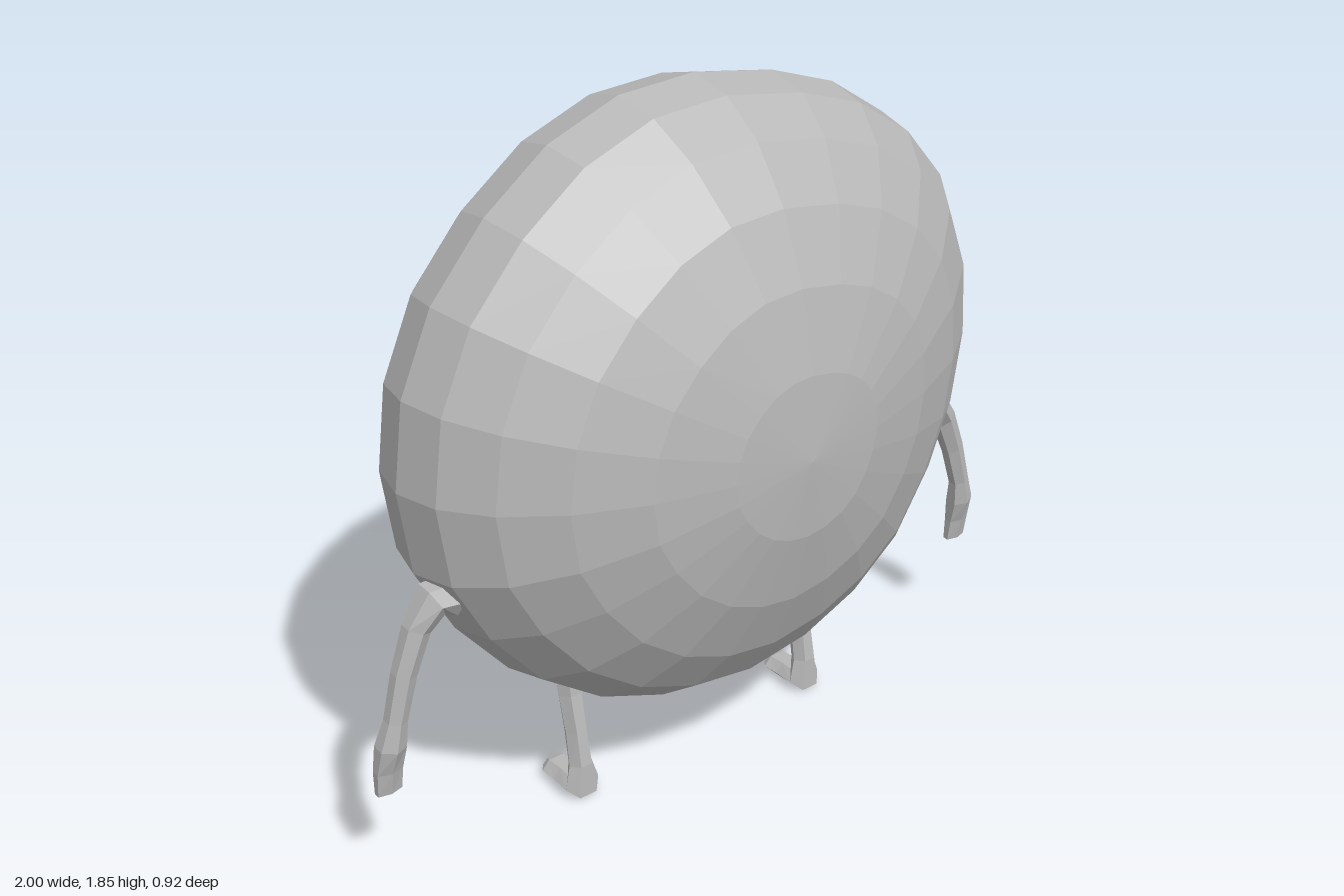
import * as THREE from 'three';

const CENTRE = [-0.03, 1.035];
const DEPTH = 0.46;

// Body outline at its widest, one point every 15 degrees from the +x side
const OUTLINE = [
  [0.825, 1.09], [0.81, 1.31], [0.735, 1.5], [0.605, 1.645], [0.43, 1.755], [0.23, 1.82],
  [-0.01, 1.858], [-0.23, 1.845], [-0.43, 1.77], [-0.605, 1.64], [-0.755, 1.47], [-0.845, 1.27],
  [-0.875, 1.05], [-0.845, 0.83], [-0.745, 0.645], [-0.6, 0.47], [-0.42, 0.34], [-0.22, 0.26],
  [-0.01, 0.23], [0.21, 0.26], [0.41, 0.34], [0.58, 0.47], [0.71, 0.67], [0.79, 0.87],
];

// Split faces so that each one is shaded flat
function facet(geometry) {
  const flat = geometry.toNonIndexed();
  flat.computeVertexNormals();
  return flat;
}

// Slightly uneven flattened sphere with its poles at the front and back
function bodyGeometry() {
  const n = OUTLINE.length;
  const geometry = new THREE.SphereGeometry(1, n, 12).rotateX(Math.PI / 2);
  const p = geometry.attributes.position;
  for (let i = 0; i < p.count; i++) {
    const x = p.getX(i), y = p.getY(i);
    const r = Math.hypot(x, y);
    const k = (Math.round(Math.atan2(y, x) / (2 * Math.PI) * n) + n) % n;
    p.setXYZ(i,
      CENTRE[0] + r * (OUTLINE[k][0] - CENTRE[0]),
      CENTRE[1] + r * (OUTLINE[k][1] - CENTRE[1]),
      p.getZ(i) * DEPTH);
  }
  return facet(geometry);
}

// Six-sided limb through sections [x, y, z, halfWidth along ref, halfWidth across]
function limbGeometry(sections, ref) {
  const sides = 6;
  const points = sections.map((s) => new THREE.Vector3(s[0], s[1], s[2]));
  const last = points.length - 1;
  const pos = [], index = [];
  points.forEach((c, i) => {
    const t = points[Math.min(i + 1, last)].clone().sub(points[Math.max(i - 1, 0)]).normalize();
    const u = ref.clone().addScaledVector(t, -ref.dot(t)).normalize();
    const v = t.clone().cross(u);
    for (let j = 0; j < sides; j++) {
      const a = j / sides * Math.PI * 2;
      const q = c.clone()
        .addScaledVector(u, sections[i][3] * Math.cos(a))
        .addScaledVector(v, sections[i][4] * Math.sin(a) * 1.12);
      pos.push(q.x, q.y, q.z);
    }
  });
  const start = pos.length / 3, end = start + 1;
  pos.push(...points[0].toArray(), ...points[last].toArray());
  for (let j = 0; j < sides; j++) {
    const k = (j + 1) % sides;
    for (let i = 0; i < last; i++) {
      const a = i * sides, b = a + sides;
      index.push(a + j, a + k, b + k, a + j, b + k, b + j);
    }
    index.push(start, k, j, end, last * sides + j, last * sides + k);
  }
  const geometry = new THREE.BufferGeometry();
  geometry.setAttribute('position', new THREE.Float32BufferAttribute(pos, 3));
  geometry.setIndex(index);
  return facet(geometry);
}

// Arm curving out from the side of the body, ending in a flat hand
const ARM = [
  [0.75, 0.775, 0.055, 0.05, 0.045],
  [0.815, 0.785, 0.055, 0.05, 0.042],
  [0.865, 0.72, 0.05, 0.032, 0.033],
  [0.91, 0.61, 0.045, 0.027, 0.03],
  [0.945, 0.49, 0.04, 0.026, 0.027],
  [0.96, 0.42, 0.033, 0.034, 0.036],
  [0.966, 0.35, 0.022, 0.022, 0.036],
  [0.966, 0.285, 0.016, 0.016, 0.034],
];

// Leg with a short foot pointing to the back
const LEG = [
  [0.39, 0.38, -0.035, 0.04, 0.03],
  [0.39, 0.3, -0.028, 0.034, 0.03],
  [0.39, 0.19, -0.008, 0.03, 0.03],
  [0.39, 0.1, 0.008, 0.034, 0.03],
  [0.39, 0.036, 0.014, 0.052, 0.036],
  [0.39, 0.032, -0.05, 0.045, 0.026],
  [0.39, 0.032, -0.1, 0.046, 0.024],
  [0.39, 0.032, -0.12, 0.03, 0.016],
];

export function createModel() {
  const grey = new THREE.MeshStandardMaterial({ color: 0xb8b8b8 });
  grey.name = 'plain grey';
  const model = new THREE.Group();
  model.name = 'roundCreature';

  const add = (name, geometry) => {
    const mesh = new THREE.Mesh(geometry, grey);
    mesh.name = name;
    model.add(mesh);
  };

  add('body', bodyGeometry());

  for (const [side, s] of [['left', 1], ['right', -1]]) {
    // The shoulders follow the off-centre body, the hands stay symmetric
    const arm = ARM.map(([x, y, z, a, b], i) =>
      [s * x - 0.025 * Math.max(0, 1 - i / 4), y, z, a, b]);
    add(side + 'Arm', limbGeometry(arm, new THREE.Vector3(0, 0, 1)));

    const leg = LEG.map(([x, y, z, a, b]) => [s * x - 0.01, y, z, a, b]);
    add(side + 'Leg', limbGeometry(leg, new THREE.Vector3(1, 0, 0)));
  }
  return model;
}
